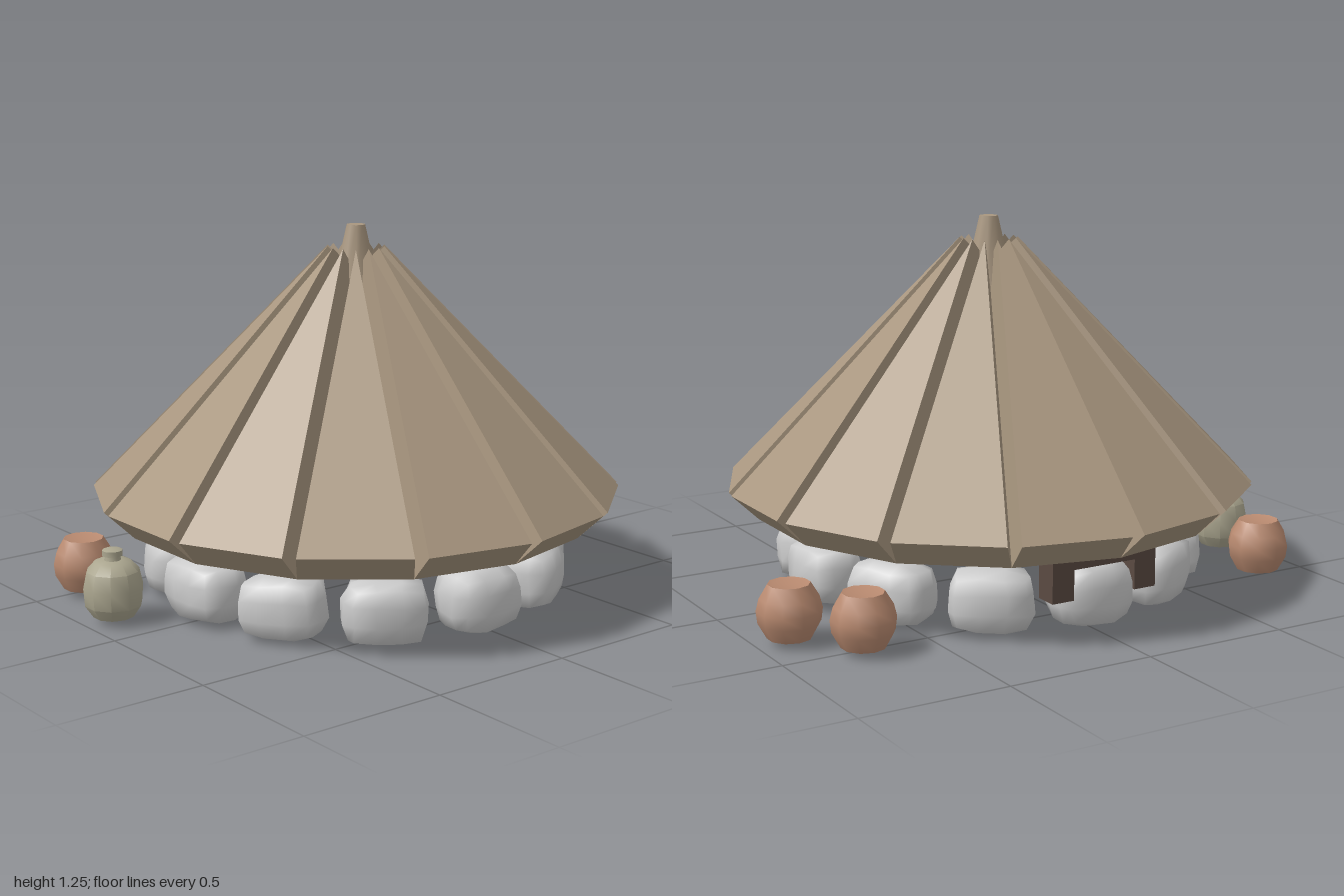
import * as THREE from 'three';
import { mergeVertices, toCreasedNormals } from 'three/addons/utils/BufferGeometryUtils.js';

const material = (color, extra = {}) => new THREE.MeshStandardMaterial({ color, ...extra });
const roofMat = material(0xa8967f, { flatShading: true });
const stoneMat = material(0xcccccc);
const clayMat = material(0xb98a70);
const jarMat = material(0xaba68f);
const woodMat = material(0x5a4a42);
const CX = -0.02; // axis of the hut

function add(parent, name, geometry, mat, x = 0, y = 0, z = 0) {
  const mesh = new THREE.Mesh(geometry, mat);
  mesh.name = name;
  mesh.position.set(x, y, z);
  parent.add(mesh);
  return mesh;
}

function seeded(seed) {
  return () => {
    seed = (seed * 16807) % 2147483647;
    return seed / 2147483647;
  };
}

// One thick triangular roof panel, facing +z and leaning to the apex
function roofPanel(count) {
  const run = 0.785, rise = 0.825, slope = Math.hypot(run, rise);
  const half = run * Math.tan(Math.PI / count);
  const shape = new THREE.Shape([
    new THREE.Vector2(-half, 0),
    new THREE.Vector2(half, 0),
    new THREE.Vector2(0, slope),
  ]);
  return new THREE.ExtrudeGeometry(shape, { depth: 0.135, bevelEnabled: false })
    .rotateX(-Math.asin(run / slope))
    .translate(0, 0.265, run);
}

// Irregular block: box corners pulled in, then jittered
function stone(seed) {
  const rand = seeded(seed * 7919 + 13);
  let geo = new THREE.BoxGeometry(2, 2, 2, 3, 3, 3);
  geo.deleteAttribute('uv');
  geo.deleteAttribute('normal');
  geo = mergeVertices(geo);
  const p = geo.attributes.position;
  const v = new THREE.Vector3();
  for (let i = 0; i < p.count; i++) {
    v.fromBufferAttribute(p, i);
    const norm = (Math.abs(v.x) ** 4 + Math.abs(v.y) ** 4 + Math.abs(v.z) ** 4) ** 0.25;
    v.divideScalar(norm);
    v.x += (rand() - 0.5) * 0.1;
    v.y += (rand() - 0.5) * 0.1;
    v.z += (rand() - 0.5) * 0.1;
    p.setXYZ(i, v.x * 0.137, v.y * 0.102, v.z * 0.098);
  }
  geo.rotateZ((rand() - 0.5) * 0.1);
  geo.computeVertexNormals();
  return geo;
}

function lathe(profile, sides) {
  const points = profile.map(([r, y]) => new THREE.Vector2(r, y));
  return toCreasedNormals(new THREE.LatheGeometry(points, sides), 0.75);
}

export function createModel() {
  const model = new THREE.Group();
  model.name = 'hut';

  // Roof of separate panels with V-shaped gaps
  const roof = new THREE.Group();
  roof.name = 'roof';
  roof.position.x = CX;
  model.add(roof);
  const panels = 14;
  const panelGeo = roofPanel(panels);
  for (let i = 0; i < panels; i++) {
    add(roof, 'roofPanel', panelGeo, roofMat).rotation.y = Math.PI / 2 + (i * 2 * Math.PI) / panels;
  }
  add(roof, 'roofCap', new THREE.CylinderGeometry(0.032, 0.085, 0.225, 10), material(0xa8967f), 0, 1.1425, 0);

  // Ring of foundation stones
  const ring = new THREE.Group();
  ring.name = 'stoneRing';
  ring.position.x = CX;
  model.add(ring);
  for (let i = 0; i < 12; i++) {
    const a = (i * Math.PI) / 6;
    add(ring, 'stone', stone(i + 1), stoneMat, 0.63 * Math.sin(a), 0.112, 0.63 * Math.cos(a)).rotation.y = a;
  }

  // Door frame at the back
  const door = new THREE.Group();
  door.name = 'doorFrame';
  door.position.set(CX, 0, -0.678);
  model.add(door);
  add(door, 'lintel', new THREE.BoxGeometry(0.39, 0.19, 0.08), woodMat, 0, 0.315, 0);
  for (const s of [-1, 1]) {
    add(door, 'doorPost', new THREE.BoxGeometry(0.08, 0.1, 0.08), woodMat, s * 0.155, 0.17, 0);
  }

  // Clay pots
  const potGeo = lathe([[0, 0.025], [0.072, 0.025], [0.1, 0.075], [0.105, 0.115], [0.095, 0.155], [0.068, 0.2], [0.055, 0.196], [0, 0.196]], 10);
  for (const [x, z] of [[0.735, -0.52], [0.893, -0.325], [-0.82, -0.485]]) {
    add(model, 'clayPot', potGeo, clayMat, x, 0, z);
  }

  // Narrow-necked jar
  const jarGeo = lathe([[0, 0.025], [0.068, 0.025], [0.095, 0.065], [0.1, 0.125], [0.088, 0.18], [0.06, 0.21], [0.028, 0.215],
    [0.026, 0.228], [0.034, 0.23], [0.034, 0.248], [0.024, 0.252], [0, 0.252]], 10);
  add(model, 'jar', jarGeo, jarMat, -0.9, 0, -0.165);

  return model;
}
